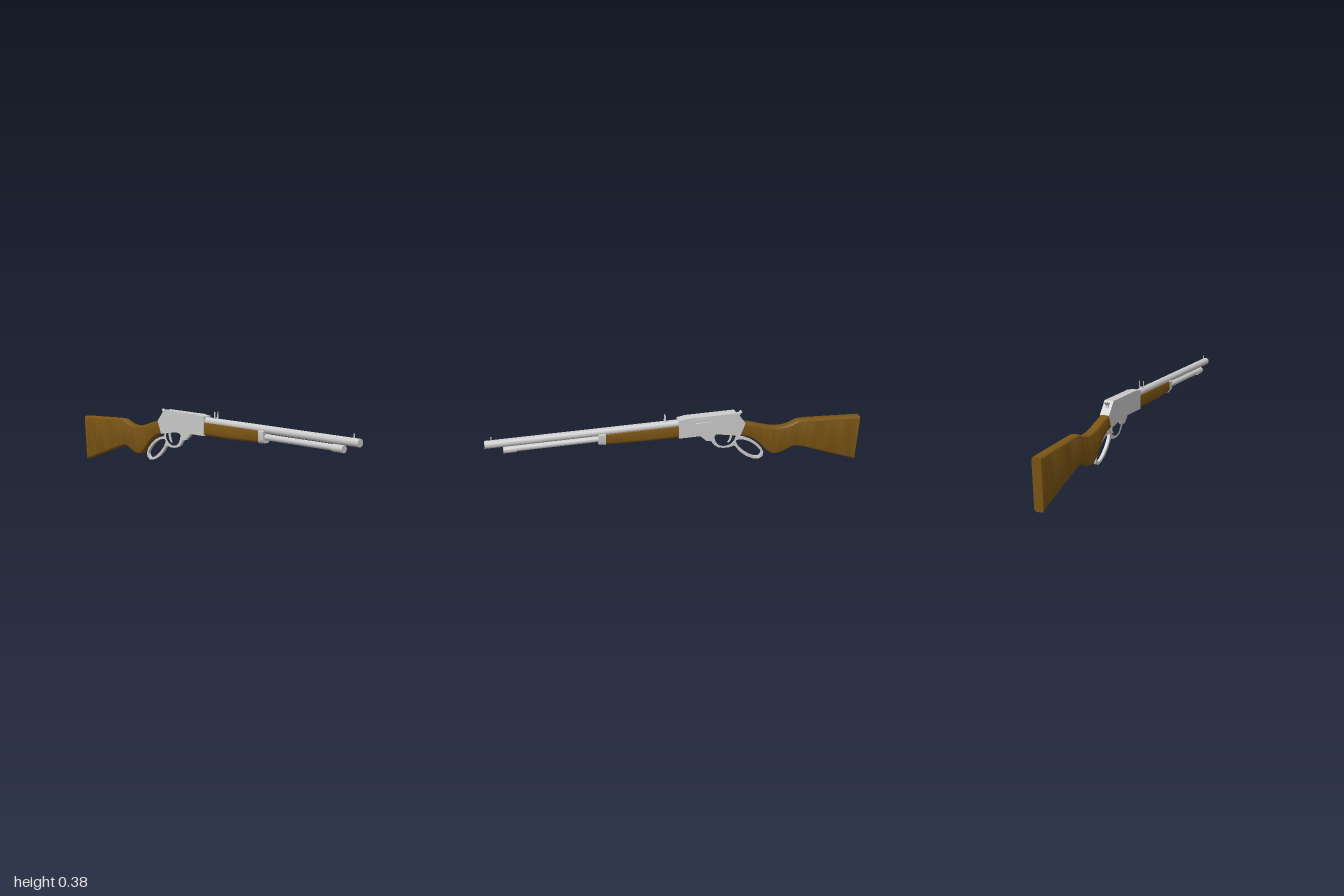
import * as THREE from 'three';
import { toCreasedNormals } from 'three/addons/utils/BufferGeometryUtils.js';

const metal = new THREE.MeshStandardMaterial({ color: 0xcccccc });
const wood = new THREE.MeshStandardMaterial({ color: 0x7a5414 });

const pts = (list) => list.map(([z, y]) => new THREE.Vector2(z, y));

// Closed smooth outline through a few points
const smooth = (list, n = 48) =>
  new THREE.CatmullRomCurve3(list.map(([z, y]) => new THREE.Vector3(z, y, 0)), true)
    .getPoints(n).slice(0, n).map((p) => new THREE.Vector2(p.x, p.y));

// Side profile in (z, y), extruded across x from x0 to x1
function plate(outline, x0, x1, holes = []) {
  const shape = new THREE.Shape(outline);
  holes.forEach((h) => shape.holes.push(new THREE.Path(h)));
  const geo = new THREE.ExtrudeGeometry(shape, { depth: x1 - x0, bevelEnabled: false });
  geo.rotateY(-Math.PI / 2).translate(x1, 0, 0);
  return toCreasedNormals(geo, 0.6);
}

// Rounded cross-sections [topZ, topY, bottomZ, bottomY], listed front to back
function loft(stations, halfWidth, topRadius, bottomRadius, steps) {
  const rail = (k) => new THREE.CatmullRomCurve3(
    stations.map((s) => new THREE.Vector3(0, s[k + 1], s[k])));
  const top = rail(0), bottom = rail(2);
  const pos = [], index = [], seg = 5, n = 4 * (seg + 1);
  for (let i = 0; i <= steps; i++) {
    const t = top.getPoint(i / steps), b = bottom.getPoint(i / steps);
    const h = t.y - b.y;
    for (let c = 0; c < 4; c++) {
      const r = c < 2 ? topRadius : bottomRadius;
      const sx = c === 0 || c === 3 ? 1 : -1;
      for (let k = 0; k <= seg; k++) {
        const a = (c + k / seg) * Math.PI / 2;
        const x = sx * (halfWidth - r) + r * Math.cos(a);
        const y = (c < 2 ? h - r : r) + r * Math.sin(a);
        pos.push(x, b.y + y, THREE.MathUtils.lerp(b.z, t.z, y / h));
      }
    }
  }
  for (let i = 0; i < steps; i++) {
    for (let j = 0; j < n; j++) {
      const a = i * n + j, b = i * n + (j + 1) % n;
      index.push(a, a + n, b, b, a + n, b + n);
    }
  }
  const end = steps * n;
  for (let j = 1; j < n - 1; j++) {
    index.push(0, j, j + 1, end, end + j + 1, end + j);
  }
  const geo = new THREE.BufferGeometry();
  geo.setAttribute('position', new THREE.Float32BufferAttribute(pos, 3));
  geo.setIndex(index);
  return toCreasedNormals(geo, 0.6);
}

// Round bar along z
function bar(radius, z0, z1, y) {
  return new THREE.CylinderGeometry(radius, radius, z1 - z0, 32)
    .rotateX(Math.PI / 2).translate(0, y, (z0 + z1) / 2);
}

const box = (w, h, d, x, y, z) => new THREE.BoxGeometry(w, h, d).translate(x, y, z);

export function createModel() {
  const model = new THREE.Group();
  const add = (name, geo, mat = metal) => {
    const mesh = new THREE.Mesh(geo, mat);
    mesh.name = name;
    model.add(mesh);
  };

  // Barrel and magazine tube
  add('barrel', bar(0.02, 0, 1, 0.33));
  add('magazineTube', bar(0.0155, 0.4, 0.9, 0.292));
  add('magazineCap', bar(0.0185, 0.845, 0.91, 0.291));

  // Forearm with its metal band
  add('forearm', loft([[0.4, 0.323, 0.4, 0.26], [0.2, 0.323, 0.2, 0.252],
    [0.005, 0.323, 0.005, 0.252]], 0.0235, 0.006, 0.02, 10), wood);
  add('forearmBand', loft([[0.43, 0.325, 0.43, 0.262], [0.395, 0.325, 0.395, 0.257]],
    0.025, 0.006, 0.02, 1));

  // Receiver: solid core plus a side wall pierced by the ejection port
  const body = pts([[0.012, 0.252], [-0.19, 0.252], [-0.322, 0.227], [-0.348, 0.297],
    [-0.297, 0.36], [-0.03, 0.36], [-0.012, 0.356], [0.012, 0.354]]);
  const port = pts([[-0.075, 0.326], [-0.075, 0.353], [-0.17, 0.353], [-0.17, 0.326]]);
  add('receiver', plate(body, -0.025, 0.017));
  add('receiverPortWall', plate(body, 0.017, 0.025, [port]));
  add('breechBolt', box(0.006, 0.018, 0.094, 0.018, 0.339, -0.1225));

  // Buttstock
  add('stock', loft([
    [-0.345, 0.298, -0.32, 0.227], [-0.4, 0.283, -0.38, 0.205],
    [-0.45, 0.266, -0.43, 0.165], [-0.49, 0.255, -0.475, 0.115],
    [-0.53, 0.248, -0.515, 0.091], [-0.575, 0.25, -0.555, 0.096],
    [-0.61, 0.26, -0.59, 0.11], [-0.645, 0.274, -0.625, 0.123],
    [-0.68, 0.275, -0.66, 0.118], [-0.82, 0.268, -0.8, 0.068],
    [-1, 0.258, -0.985, 0],
  ], 0.0245, 0.013, 0.014, 50), wood);

  // Lever: trigger guard and hand loop in one piece
  const lever = pts([[-0.1, 0.255], [-0.115, 0.235], [-0.14, 0.212], [-0.165, 0.207],
    [-0.183, 0.182], [-0.205, 0.165], [-0.235, 0.158], [-0.268, 0.158], [-0.295, 0.165],
    [-0.325, 0.125], [-0.36, 0.095], [-0.4, 0.074], [-0.435, 0.068], [-0.455, 0.08],
    [-0.46, 0.105], [-0.445, 0.135], [-0.42, 0.162], [-0.385, 0.188], [-0.35, 0.205],
    [-0.318, 0.213], [-0.308, 0.24], [-0.2, 0.255]]);
  const guardHole = smooth([[-0.188, 0.238], [-0.19, 0.205], [-0.212, 0.177],
    [-0.255, 0.171], [-0.285, 0.188], [-0.299, 0.215], [-0.292, 0.236], [-0.24, 0.242]]);
  const loopHole = smooth([[-0.305, 0.193], [-0.345, 0.193], [-0.39, 0.17], [-0.43, 0.133],
    [-0.447, 0.102], [-0.433, 0.082], [-0.4, 0.088], [-0.345, 0.127], [-0.312, 0.167]]);
  add('lever', plate(lever, -0.008, 0.008, [guardHole, loopHole]));
  add('leverPivot', plate(pts([[-0.1, 0.255], [-0.14, 0.213], [-0.165, 0.208],
    [-0.178, 0.225], [-0.185, 0.255]]), -0.011, 0.011));

  // Trigger
  add('trigger', plate(pts([[-0.268, 0.25], [-0.272, 0.22], [-0.268, 0.2], [-0.258, 0.185],
    [-0.264, 0.183], [-0.277, 0.198], [-0.283, 0.22], [-0.285, 0.25]]), -0.004, 0.004));

  // Hammer with its thumb spur
  add('hammer', plate(pts([[-0.285, 0.335], [-0.302, 0.353], [-0.314, 0.35], [-0.329, 0.362],
    [-0.335, 0.357], [-0.322, 0.341], [-0.326, 0.31], [-0.3, 0.31]]), -0.008, 0.008));

  // Sights
  add('frontSight', box(0.003, 0.024, 0.006, 0, 0.358, 0.965));
  add('rearSightBase', box(0.026, 0.006, 0.008, 0, 0.352, 0.08));
  for (const side of [-1, 1]) {
    add(side > 0 ? 'leftRearSight' : 'rightRearSight',
      box(0.003, 0.034, 0.006, side * 0.011, 0.368, 0.08));
  }

  return model;
}
